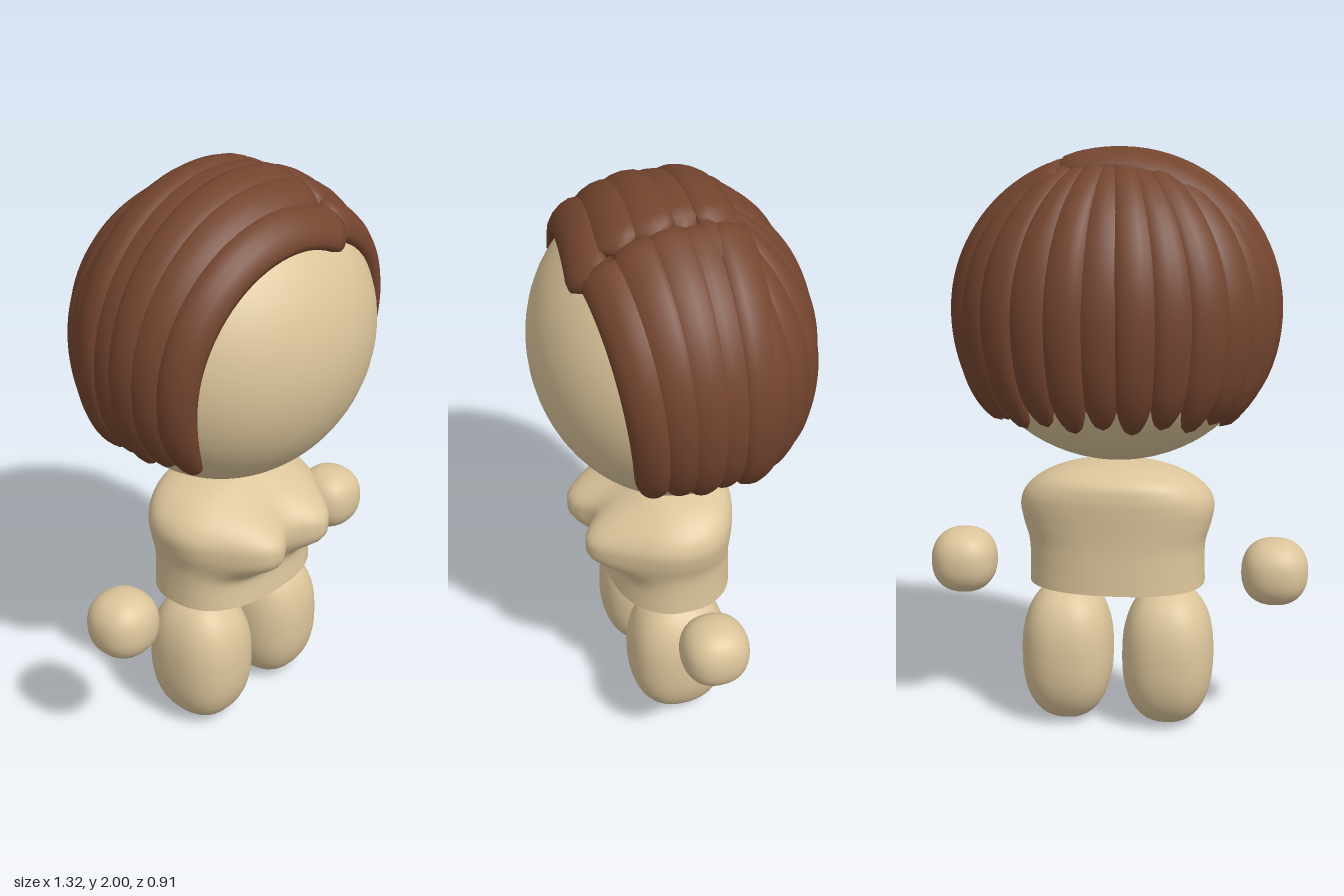
import * as THREE from 'three';

const skin = new THREE.MeshStandardMaterial({ color: 0xdcc59b });
const brown = new THREE.MeshStandardMaterial({ color: 0x74452f });

// Hair shell: half sizes and centre height
const A = 0.548, B = 0.53, C = 0.458, CY = 1.47;

// Closed skin over rings of equal length
function loft(rings) {
  const n = rings[0].length, pos = [], idx = [];
  rings.forEach(r => r.forEach(p => pos.push(p.x, p.y, p.z)));
  for (let i = 0; i < rings.length - 1; i++) {
    for (let j = 0; j < n; j++) {
      const a = i * n + j, b = i * n + (j + 1) % n;
      idx.push(a, a + n, b, b, a + n, b + n);
    }
  }
  const g = new THREE.BufferGeometry();
  g.setAttribute('position', new THREE.Float32BufferAttribute(pos, 3));
  g.setIndex(idx);
  g.computeVertexNormals();
  return g;
}

function add(parent, name, geometry, material) {
  const m = new THREE.Mesh(geometry, material);
  m.name = name;
  parent.add(m);
  return m;
}

// Sphere pushed towards a rounded box by the exponent p
function softBlob(rx, ry, rz, p) {
  const g = new THREE.SphereGeometry(1, 40, 28), q = g.attributes.position;
  for (let i = 0; i < q.count; i++) {
    const v = new THREE.Vector3().fromBufferAttribute(q, i);
    const k = (Math.abs(v.x) ** p + Math.abs(v.y) ** p + Math.abs(v.z) ** p) ** (-1 / p);
    q.setXYZ(i, v.x * k, v.y * k, v.z * k);
  }
  g.computeVertexNormals();
  // Clean normals along the seam and poles from the implicit surface
  const nm = g.attributes.normal;
  for (let i = 0; i < q.count; i++) {
    const f = x => Math.sign(x) * Math.abs(x) ** (p - 1);
    const v = new THREE.Vector3(f(q.getX(i)), f(q.getY(i)), f(q.getZ(i))).normalize();
    nm.setXYZ(i, v.x, v.y, v.z);
  }
  return g.scale(rx, ry, rz);
}

// Flattened strand following path(u), lying on the hair shell
function lock(path, width, h, lift) {
  const rings = [], steps = 36, sides = 14;
  for (let i = 0; i <= steps; i++) {
    const u = i / steps, p = path(u);
    const T = path(Math.min(1, u + 0.01)).sub(path(Math.max(0, u - 0.01))).normalize();
    const N = new THREE.Vector3(p.x / (A * A), (p.y - CY) / (B * B), p.z / (C * C));
    N.addScaledVector(T, -N.dot(T)).normalize();
    const S = new THREE.Vector3().crossVectors(T, N);
    const root = Math.sqrt(Math.max(0, 1 - Math.max(0, 1 - u / 0.05) ** 2));
    const tip = Math.sqrt(Math.max(0, 1 - Math.max(0, (u - 0.8) / 0.2) ** 2));
    const k = root * tip, w = width(u) * k;
    p.addScaledVector(N, lift - h);
    const ring = [];
    for (let j = 0; j < sides; j++) {
      const t = j / sides * Math.PI * 2;
      ring.push(p.clone().addScaledVector(S, w * Math.cos(t)).addScaledVector(N, h * k * Math.sin(t)));
    }
    rings.push(ring);
  }
  return loft(rings);
}

// Strand from the parting over one side, s = 1 left or -1 right
function sidePath(s, rootX, z0, z1, tipY) {
  const reach = z => Math.sqrt(1 - Math.abs(z / C) ** 2.6);
  const t0 = Math.acos(s * rootX / (A * reach(z0)));
  const t1 = Math.asin((tipY - CY) / (B * reach(z1)));
  return u => {
    const t = t0 + (t1 - t0) * u, z = z0 + (z1 - z0) * u, r = reach(z);
    const c = Math.cos(t);
    const x = t < 0 ? c ** 0.85 : c;
    return new THREE.Vector3(s * A * r * x, CY + B * r * Math.sin(t), z);
  };
}

// Strand from the crown down the back at a given azimuth
function backPath(az, tipY) {
  const sx = Math.sin(az), cz = Math.cos(az);
  const k = (Math.abs(sx) ** 2.3 + Math.abs(cz) ** 2.3) ** (-1 / 2.3);
  const e0 = 1.3, e1 = Math.asin((tipY - CY) / B);
  return u => {
    const e = e0 + (e1 - e0) * u;
    const r = (e < 0 ? Math.cos(e) ** 0.7 : Math.cos(e)) * k;
    return new THREE.Vector3(A * r * sx, CY + B * Math.sin(e), -C * r * cz);
  };
}

function makeTorso() {
  // height, half width, back, front
  const rows = [
    [0.52, 0.305, -0.195, 0.235], [0.6, 0.303, -0.192, 0.228], [0.67, 0.307, -0.19, 0.225],
    [0.74, 0.327, -0.192, 0.23], [0.8, 0.335, -0.195, 0.225], [0.85, 0.315, -0.195, 0.2],
    [0.9, 0.255, -0.18, 0.15], [0.935, 0.16, -0.12, 0.1], [0.955, 0.002, 0.01, 0.014],
  ];
  const side = new THREE.CatmullRomCurve3(rows.map(r => new THREE.Vector3(r[1], r[0], 0)));
  const depth = new THREE.CatmullRomCurve3(rows.map(r => new THREE.Vector3(r[2], r[0], r[3])));
  const rings = [], pw = (v, e) => Math.sign(v) * Math.abs(v) ** e;
  for (let i = 0; i <= 48; i++) {
    const a = side.getPoint(i / 48), d = depth.getPoint(i / 48), ring = [];
    const mid = (d.x + d.z) / 2, half = (d.z - d.x) / 2;
    for (let j = 0; j < 64; j++) {
      const t = j / 64 * Math.PI * 2, y = a.y;
      const x = a.x * pw(Math.cos(t), 0.85);
      let z = mid + half * pw(Math.sin(t), 0.85);
      // Chest swelling on the front half
      const dy = y - 0.765;
      const fy = dy > 0 ? Math.exp(-((dy / 0.105) ** 2)) : Math.exp(-((dy / 0.11) ** 4));
      const fx = Math.exp(-(((Math.abs(x) - 0.135) / 0.125) ** 2));
      z += 0.12 * fx * fy * Math.max(0, Math.sin(t)) ** 0.7;
      ring.push(new THREE.Vector3(x, y, z));
    }
    rings.push(ring);
  }
  // Flat base with a sharp rim
  const base = rings[0];
  rings.unshift(base.map(() => new THREE.Vector3(0, 0.52, 0.02)), base);
  return loft(rings);
}

export function createModel() {
  const model = new THREE.Group();
  model.name = 'figure';

  add(model, 'head', new THREE.SphereGeometry(1, 56, 40).scale(0.52, 0.495, 0.437), skin).position.set(0, 1.45, 0.02);
  add(model, 'torso', makeTorso(), skin);
  for (const s of [1, -1]) {
    const side = s > 0 ? 'left' : 'right';
    add(model, side + 'Leg', softBlob(0.16, 0.248, 0.178, 2.4), skin).position.set(s * 0.178, 0.25, 0.027);
    add(model, side + 'Hand', softBlob(0.115, 0.115, 0.115, 2.3), skin).position.set(s * 0.547, 0.567, 0.018);
  }

  const hair = new THREE.Group();
  hair.name = 'hair';
  model.add(hair);
  // Scalp under the strands, tilted back clear of the face
  const cap = new THREE.SphereGeometry(1, 40, 20, 0, Math.PI * 2, 0, 1.38).rotateX(-0.75).scale(0.528, 0.505, 0.445);
  add(hair, 'scalp', cap, brown).position.set(0, 1.45, 0.02);

  // Side strands, overlapping from front to back
  const n = 5;
  for (const s of [1, -1]) {
    for (let i = 0; i < n; i++) {
      const f = i / (n - 1);
      const z0 = (s > 0 ? 0.3 : 0.335) - 0.45 * f, z1 = 0.19 - 0.34 * f;
      const path = sidePath(s, s > 0 ? 0.15 : 0.2 - 0.02 * (i % 2), z0, z1, 1.085 + 0.012 * (i % 2));
      const width = u => 0.078 - 0.024 * u * u;
      const lift = (s < 0 ? 0.006 : 0) - 0.006 * (i % 2);
      add(hair, (s > 0 ? 'left' : 'right') + 'Strand', lock(path, width, i ? 0.036 : 0.042, lift), brown);
    }
  }

  // Back strands fanning from the crown
  const m = 11;
  for (let i = 0; i < m; i++) {
    const az = (i / (m - 1) * 2 - 1) * 1.12;
    const path = backPath(az, 1.085 + 0.015 * (i % 2));
    const width = u => 0.02 + 0.052 * Math.sin(Math.PI * Math.min(1, 0.1 + u * 0.72)) ** 0.8;
    add(hair, 'backStrand', lock(path, width, 0.036, -0.004 * (i % 2)), brown);
  }
  return model;
}
